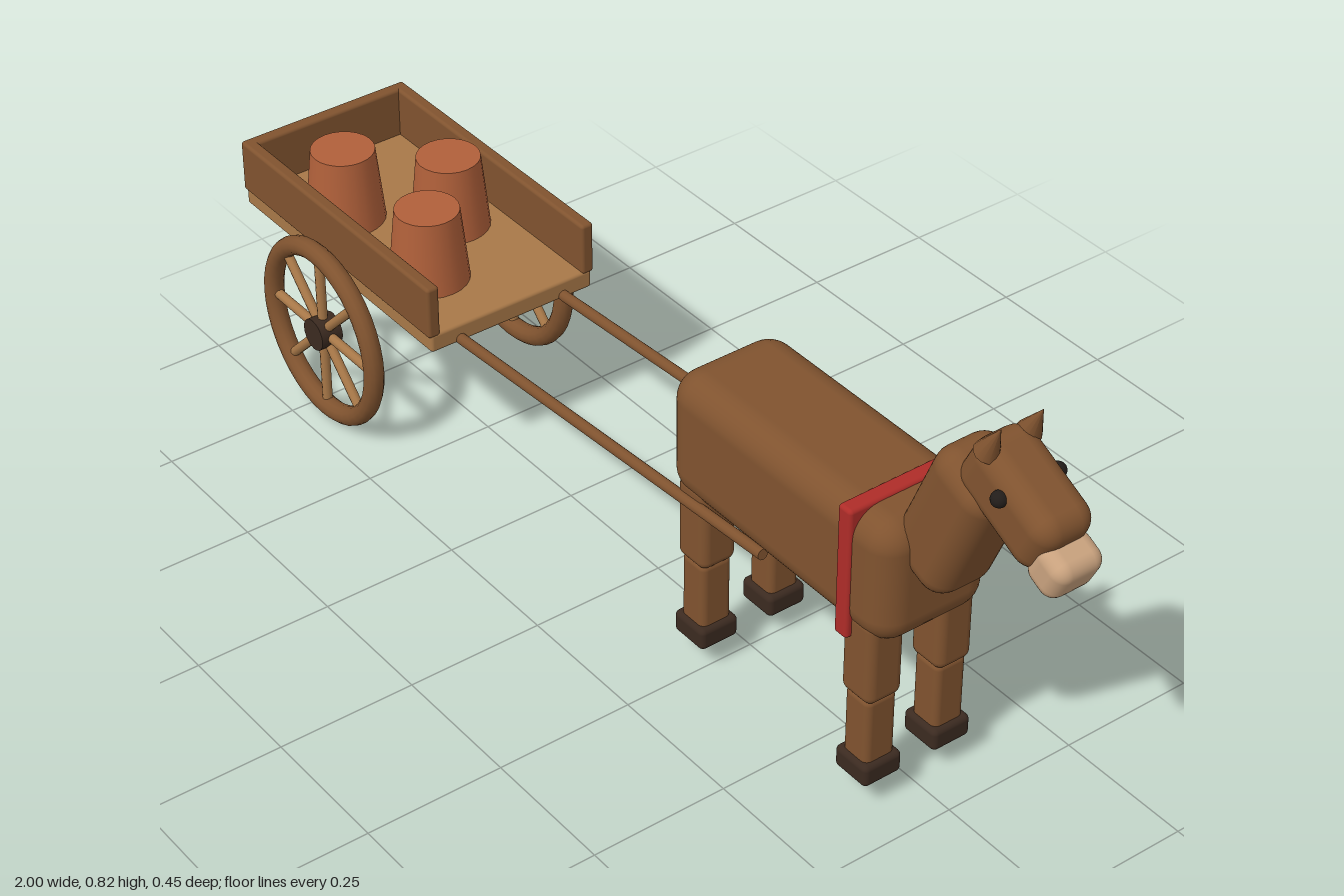
import * as THREE from 'three';
import { RoundedBoxGeometry } from 'three/addons/geometries/RoundedBoxGeometry.js';

const mat = (name, color) => {
  const m = new THREE.MeshStandardMaterial({ color });
  m.name = name;
  return m;
};

export function createModel() {
  const root = new THREE.Group();
  root.name = 'horseAndCart';
  const coat = mat('coatBrown', 0x80532f);
  const wood = mat('cartWood', 0x80532f);
  const paleWood = mat('paleWood', 0xa87848);
  const dark = mat('darkBrown', 0x3b2a20);
  const eyeBlack = mat('eyeBlack', 0x221d1a);
  const cream = mat('muzzleCream', 0xc9a27e);
  const red = mat('strapRed', 0xae2c28);
  const clay = mat('terracotta', 0xb0603a);

  const add = (parent, name, geo, material, x, y, z, rz = 0) => {
    const m = new THREE.Mesh(geo, material);
    m.name = name;
    m.position.set(x, y, z);
    m.rotation.z = rz;
    parent.add(m);
    return m;
  };
  const box = (w, h, d, r) => new RoundedBoxGeometry(w, h, d, 4, r);
  const group = (name) => {
    const g = new THREE.Group();
    g.name = name;
    root.add(g);
    return g;
  };
  const sides = [['left', 1], ['right', -1]];

  // Horse trunk, strap and tail
  const horse = group('horse');
  add(horse, 'body', box(0.54, 0.23, 0.22, 0.05), coat, 0.43, 0.44, 0);
  add(horse, 'strap', box(0.03, 0.245, 0.232, 0.007), red, 0.608, 0.438, 0);
  add(horse, 'tail', new THREE.CapsuleGeometry(0.018, 0.165, 6, 14), dark, 0.156, 0.413, 0);

  // Neck and head
  add(horse, 'neck', box(0.133, 0.27, 0.126, 0.04), coat, 0.741, 0.58, 0, -0.4);
  const tilt = -0.47;
  add(horse, 'head', box(0.195, 0.117, 0.108, 0.035), coat, 0.868, 0.69, 0, tilt);
  add(horse, 'muzzle', box(0.07, 0.08, 0.092, 0.024), cream, 0.958, 0.623, 0, tilt);

  for (const [, s] of sides) {
    add(horse, 'eye', new THREE.SphereGeometry(0.0135, 16, 12), eyeBlack, 0.873, 0.713, 0.056 * s);
    add(horse, 'ear', new THREE.ConeGeometry(0.021, 0.062, 12), coat, 0.838, 0.788, 0.04 * s, -0.45);
    // Legs
    for (const [pos, x] of [['front', 0.634], ['back', 0.222]]) {
      const z = 0.07 * s;
      add(horse, pos + 'UpperLeg', box(0.072, 0.16, 0.07, 0.016), coat, x, 0.283, z);
      add(horse, pos + 'LowerLeg', box(0.058, 0.135, 0.06, 0.012), coat, x, 0.141, z);
      add(horse, pos + 'Hoof', box(0.076, 0.042, 0.076, 0.01), dark, x, 0.064, z);
    }
  }

  // Cart tray, open towards the horse
  const cart = group('cart');
  add(cart, 'bed', box(0.586, 0.036, 0.334, 0.006), paleWood, -0.706, 0.298, 0);
  add(cart, 'tailBoard', box(0.024, 0.1, 0.32, 0.006), wood, -0.988, 0.361, 0);
  for (const [name, s] of sides) {
    add(cart, name + 'SideBoard', box(0.588, 0.1, 0.024, 0.006), wood, -0.706, 0.361, 0.16 * s);

    // Shafts running from under the bed to the horse's flanks
    const a = new THREE.Vector3(-0.54, 0.278, 0.107 * s);
    const b = new THREE.Vector3(0.41, 0.342, 0.107 * s);
    const mid = a.clone().add(b).multiplyScalar(0.5);
    const shaft = add(cart, name + 'Shaft',
      new THREE.CylinderGeometry(0.01, 0.01, a.distanceTo(b), 12), wood, mid.x, mid.y, mid.z);
    shaft.quaternion.setFromUnitVectors(new THREE.Vector3(0, 1, 0), b.clone().sub(a).normalize());

    // Wheels
    const wheel = new THREE.Group();
    wheel.name = name + 'Wheel';
    wheel.position.set(-0.706, 0.178, 0.202 * s);
    cart.add(wheel);
    add(wheel, 'rim', new THREE.TorusGeometry(0.16, 0.018, 12, 40), wood, 0, 0, 0);
    const hub = add(wheel, 'hub', new THREE.CylinderGeometry(0.03, 0.03, 0.042, 20), dark, 0, 0, 0);
    hub.rotation.x = Math.PI / 2;
    for (let i = 0; i < 8; i++) {
      const t = (i * Math.PI) / 4;
      add(wheel, 'spoke', new THREE.CylinderGeometry(0.009, 0.009, 0.15, 10), paleWood,
        Math.cos(t) * 0.085, Math.sin(t) * 0.085, 0, t - Math.PI / 2);
    }
  }

  // Upturned pots
  for (const [x, z] of [[-0.68, -0.056], [-0.81, 0.078], [-0.565, 0.067]]) {
    add(cart, 'pot', new THREE.CylinderGeometry(0.057, 0.071, 0.14, 24), clay, x, 0.385, z);
  }
  return root;
}
